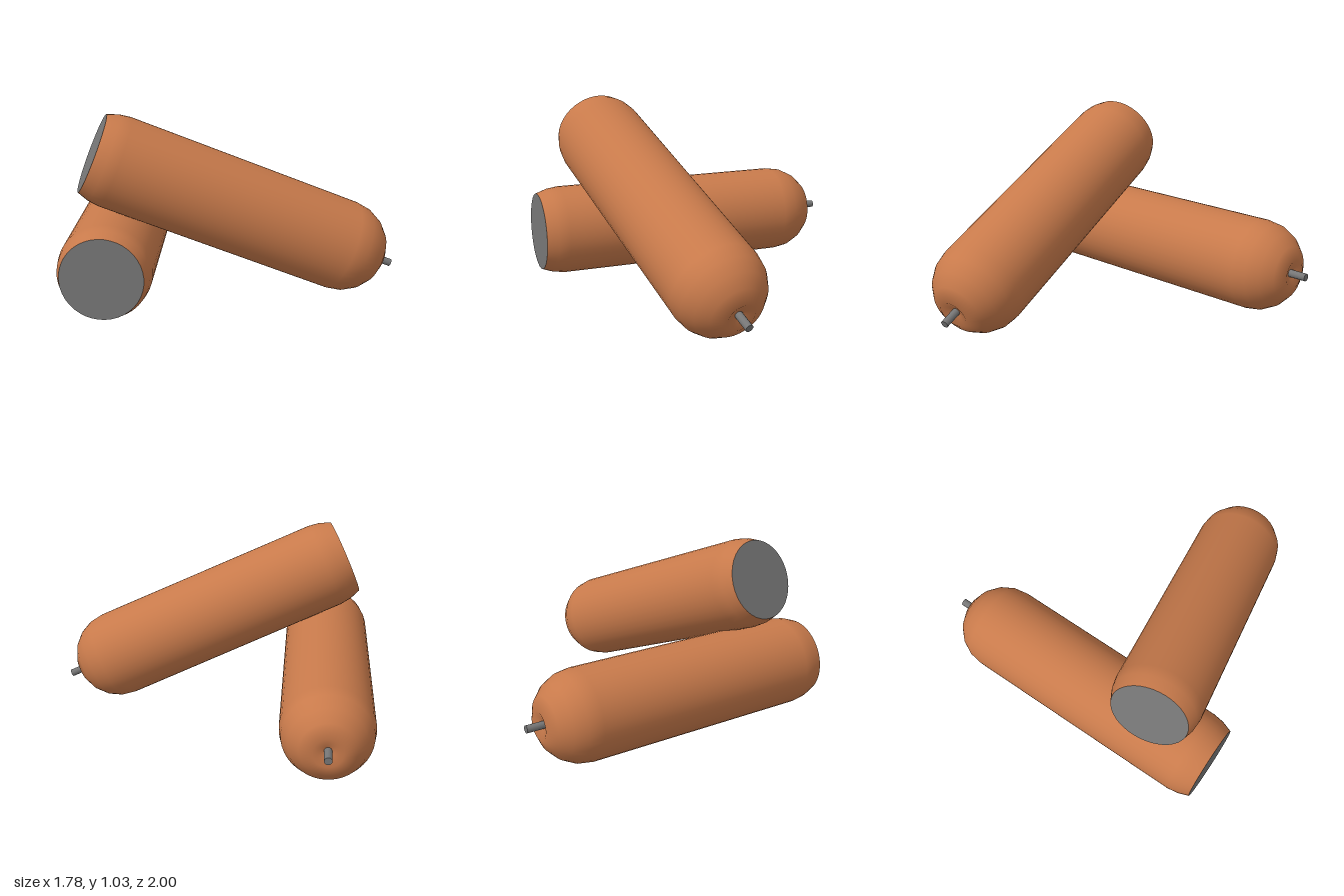
import * as THREE from 'three';

const R = 0.255;        // body radius
const DOME = 1.485;     // distance from the cut end to the dome centre
const TIP = 1.8;        // distance from the cut end to the stub's tip
const CUT_R = 0.223;    // radius of the flat cut face

const skin = new THREE.MeshStandardMaterial({ color: 0xc87a4b });
const grey = new THREE.MeshStandardMaterial({ color: 0x777777 });

function part(parent, name, geometry, material, y = 0) {
  const mesh = new THREE.Mesh(geometry, material);
  mesh.name = name;
  mesh.position.y = y;
  parent.add(mesh);
  return mesh;
}

// One roll, built along +y with its cut face at the origin
function makeRoll(name) {
  const roll = new THREE.Group();
  roll.name = name;

  // Skin: rounded in towards the cut, straight, domed, dimpled at the tip
  const profile = [[CUT_R, 0], [0.246, 0.065], [R, 0.13]];
  for (let i = 0; i < 5; i++) {
    const a = (i * Math.PI) / 10;
    profile.push([R * Math.cos(a), DOME + R * Math.sin(a)]);
  }
  profile.push([0, 1.69]);
  const points = profile.map(([r, y]) => new THREE.Vector2(r, y));
  part(roll, 'skin', new THREE.LatheGeometry(points, 40), skin);

  // Flat cut face, looking out of the open end
  const face = new THREE.CircleGeometry(CUT_R, 40).rotateX(Math.PI / 2);
  part(roll, 'cutFace', face, grey);

  // Small stub rising from the dimple
  const length = TIP - 1.66;
  part(roll, 'stub', new THREE.CylinderGeometry(0.021, 0.021, length, 12), grey, TIP - length / 2);
  return roll;
}

// Lays a roll so its dome centre sits at `centre` and its axis follows `direction`
function placeRoll(name, centre, direction) {
  const roll = makeRoll(name);
  const axis = new THREE.Vector3(...direction).normalize();
  roll.quaternion.setFromUnitVectors(new THREE.Vector3(0, 1, 0), axis);
  roll.position.set(...centre).addScaledVector(axis, -DOME);
  return roll;
}

export function createModel() {
  const model = new THREE.Group();
  model.name = 'crossedRolls';
  model.add(
    placeRoll('lowerRoll', [0.25, 0.261, -0.745], [0.654, 0, -0.757]),
    placeRoll('upperRoll', [0.626, 0.278, 0.745], [0.794, -0.375, 0.479]),
  );
  return model;
}
